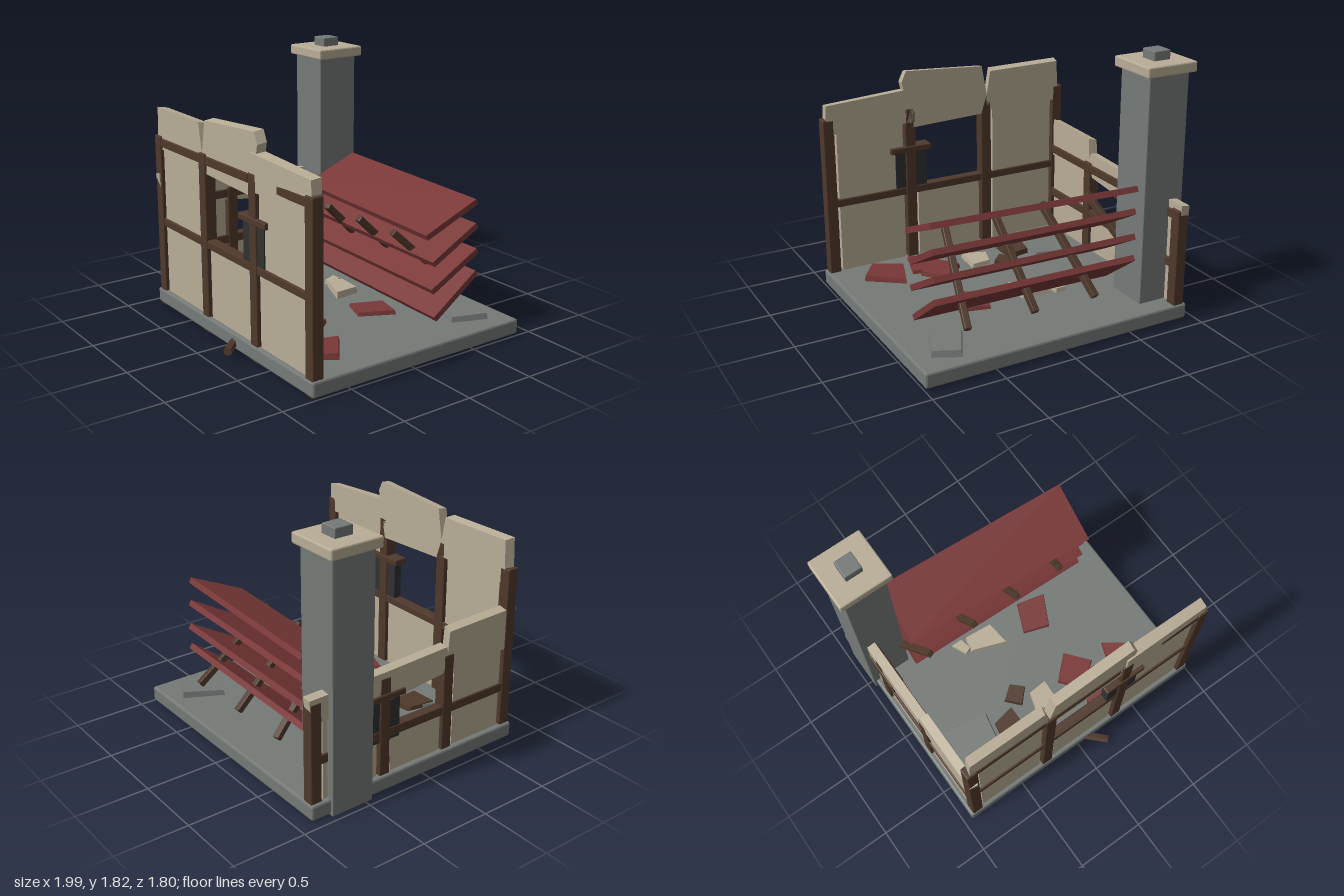
import * as THREE from 'three';
import { RoundedBoxGeometry } from 'three/addons/geometries/RoundedBoxGeometry.js';
import { ConvexGeometry } from 'three/addons/geometries/ConvexGeometry.js';

const mat = (name, color) => {
  const m = new THREE.MeshStandardMaterial({ color });
  m.name = name;
  return m;
};

export function createModel() {
  const stone = mat('stone', 0x757a77);
  const plaster = mat('plaster', 0xb8ad96);
  const timber = mat('timber', 0x4f392c);
  const tile = mat('roof red', 0x7a3838);
  const iron = mat('dark shutter', 0x303030);

  const root = new THREE.Group();
  root.name = 'ruinedHouse';
  const group = (name) => {
    const g = new THREE.Group();
    g.name = name;
    root.add(g);
    return g;
  };
  const add = (parent, name, geometry, material) => {
    const m = new THREE.Mesh(geometry, material);
    m.name = name;
    parent.add(m);
    return m;
  };
  // chamfered block with flat faces
  const chamfered = (w, h, d, r) => {
    const g = new RoundedBoxGeometry(w, h, d, 1, r);
    g.computeVertexNormals();
    return g;
  };
  // block given by its limits on each axis
  const block = (parent, name, material, [x0, x1], [y0, y1], [z0, z1], r = 0.007) => {
    const g = r ? chamfered(x1 - x0, y1 - y0, z1 - z0, r) : new THREE.BoxGeometry(x1 - x0, y1 - y0, z1 - z0);
    const m = add(parent, name, g, material);
    m.position.set((x0 + x1) / 2, (y0 + y1) / 2, (z0 + z1) / 2);
    return m;
  };
  const shard = (parent, name, material, points) =>
    add(parent, name, new ConvexGeometry(points.map((p) => new THREE.Vector3(...p))), material);

  block(root, 'foundation', stone, [-0.94, 0.995], [0.01, 0.115], [-0.9, 0.78], 0.014);

  // chimney
  const chimney = group('chimney');
  block(chimney, 'stack', stone, [-0.96, -0.655], [0, 1.69], [-0.76, -0.45], 0.006);
  block(chimney, 'chimneyCap', plaster, [-0.995, -0.617], [1.685, 1.757], [-0.795, -0.42], 0.01);
  block(chimney, 'flue', stone, [-0.87, -0.745], [1.74, 1.82], [-0.675, -0.545], 0.006);

  // front wall
  const front = group('frontWall');
  const FZ = [0.695, 0.765], PZ = [0.705, 0.752];
  for (const x of [-0.88, -0.275, 0.333, 0.94])
    block(front, 'frontPost', timber, [x - 0.04, x + 0.04], [0, 1.245], [0.69, 0.772]);
  block(front, 'middleRail', timber, [-0.86, 0.93], [0.6, 0.657], FZ);
  block(front, 'topRail', timber, [-0.86, 0.275], [1.17, 1.232], FZ);
  block(front, 'topRail', timber, [0.39, 0.93], [1.17, 1.232], FZ);
  for (const x of [-0.58, 0.03, 0.635]) {
    block(front, 'lowerPanel', plaster, [x - 0.247, x + 0.247], [0.1, 0.61], PZ, 0);
    if (x !== 0.03) block(front, 'upperPanel', plaster, [x - 0.247, x + 0.247], [0.65, 1.18], PZ, 0);
  }
  block(front, 'shutter', iron, [0.21, 0.45], [0.63, 0.93], [0.7, 0.76], 0);
  block(front, 'shutterLintel', timber, [0.178, 0.488], [0.92, 0.965], [0.68, 0.78]);

  // broken plaster on top of the front wall: outline, front z left/right, back z, back shift
  const frontShard = (pts, zl, zr, zb, dx, dy) => {
    const x0 = pts[0][0], x1 = pts[1][0];
    shard(front, 'brokenWallTop', plaster, pts.flatMap(([x, y]) => [
      [x, y, zl + (zr - zl) * (x - x0) / (x1 - x0)],
      [x + dx, y + dy, zb],
    ]));
  };
  frontShard([[-0.9, 1.15], [-0.3, 1.15], [-0.29, 1.24], [-0.325, 1.44], [-0.885, 1.445]], 0.757, 0.757, 0.69, 0.015, -0.01);
  frontShard([[-0.24, 1.11], [0.31, 1.09], [0.385, 1.43], [0.35, 1.505], [-0.245, 1.465], [-0.285, 1.25]], 0.757, 0.757, 0.69, 0.005, 0.01);
  frontShard([[0.31, 1.13], [0.9, 1.13], [0.955, 1.25], [0.95, 1.34], [0.31, 1.375]], 0.77, 0.76, 0.69, 0.005, 0.008);

  // left wall
  const side = group('leftWall');
  const FX = [-0.915, -0.845], PX = [-0.905, -0.858];
  for (const z of [0.2, -0.32, -0.85])
    block(side, 'sidePost', timber, [-0.92, -0.84], [0, 0.793], [z - 0.04, z + 0.04]);
  block(side, 'middleRail', timber, FX, [0.368, 0.432], [-0.84, 0.72]);
  block(side, 'topRail', timber, FX, [0.717, 0.78], [-0.84, 0.72]);
  for (const [z, open] of [[0.465, false], [-0.06, true], [-0.585, false]]) {
    block(side, 'lowerPanel', plaster, PX, [0.1, 0.38], [z - 0.208, z + 0.208], 0);
    if (!open) block(side, 'upperPanel', plaster, PX, [0.42, 0.73], [z - 0.208, z + 0.208], 0);
  }
  block(side, 'shutter', iron, [-0.91, -0.85], [0.35, 0.65], [-0.44, -0.2], 0);
  block(side, 'shutterLintel', timber, [-0.93, -0.83], [0.64, 0.685], [-0.475, -0.165]);

  // broken plaster on top of the left wall: outline in z and y
  const sideShard = (pts, dz, dy) => shard(side, 'brokenWallTop', plaster,
    pts.flatMap(([z, y]) => [[-0.856, y, z], [-0.918, y + dy, z + dz]]));
  sideShard([[0.755, 0.7], [0.22, 0.7], [0.19, 0.79], [0.205, 0.968], [0.782, 0.982]], -0.008, -0.015);
  sideShard([[0.15, 0.685], [-0.34, 0.635], [-0.37, 0.842], [0.175, 0.863], [0.2, 0.78]], 0, -0.01);
  sideShard([[-0.37, 0.66], [-0.88, 0.672], [-0.898, 0.832], [-0.345, 0.842]], 0, -0.008);

  // collapsed roof: y, z, pitch, yaw, width of each board
  const roof = group('collapsedRoof');
  [[0.85, -0.487, 0.42, -0.06, 0.44],
    [0.672, -0.505, 0.52, -0.035, 0.41],
    [0.49, -0.505, 0.52, -0.03, 0.43],
    [0.315, -0.52, 0.64, -0.03, 0.43]].forEach(([y, z, pitch, yaw, w]) => {
    const b = add(roof, 'roofBoard', new THREE.BoxGeometry(1.45, 0.04, w), tile);
    b.position.set(0.09, y, z);
    b.rotation.set(pitch, yaw, 0, 'YXZ');
  });

  // beam between two points
  const beam = (parent, name, a, b, size) => {
    const p = new THREE.Vector3(...a), q = new THREE.Vector3(...b);
    const m = add(parent, name, chamfered(size, size, p.distanceTo(q), 0.006), timber);
    m.position.copy(p).add(q).multiplyScalar(0.5);
    m.lookAt(q);
    return m;
  };
  [[-0.58, -0.78], [-0.215, -0.32], [0.147, 0.135], [0.515, 0.62]].forEach(([xf, xb]) =>
    beam(roof, 'rafter', [xf, 0.735, -0.195], [xb, 0.235, -0.725], 0.046));

  // rubble on the floor: material, outline in x and z, height, slope in x, slope in z
  const rubble = group('rubble');
  [[tile, [[0.25, -0.33], [0.45, -0.28], [0.34, -0.06], [0.16, -0.12]], 0.025, 0.03, 0],
    [tile, [[0.3, 0.19], [0.43, 0.35], [0.26, 0.48], [0.14, 0.34]], 0.035, 0, 0.04],
    [tile, [[0.34, 0.38], [0.47, 0.4], [0.4, 0.65], [0.22, 0.59]], 0.022, 0.03, 0],
    [tile, [[0.58, 0.29], [0.81, 0.46], [0.69, 0.63], [0.49, 0.54]], 0.035, 0.04, 0],
    [plaster, [[-0.22, -0.33], [-0.02, -0.31], [0, -0.13], [-0.24, -0.22]], 0.045, 0.02, 0.03],
    [plaster, [[-0.34, -0.34], [-0.26, -0.34], [-0.24, -0.25], [-0.29, -0.23]], 0.03, 0, 0],
    [plaster, [[-0.08, 0.29], [0.055, 0.28], [0.045, 0.48], [-0.12, 0.42]], 0.035, 0, 0.03],
    [timber, [[-0.17, 0.155], [-0.09, 0.23], [-0.18, 0.325], [-0.265, 0.23]], 0.045, 0.03, 0],
    [timber, [[-0.42, 0.33], [-0.26, 0.3], [-0.26, 0.5], [-0.45, 0.51]], 0.04, 0, 0.03],
    [stone, [[-0.76, 0.17], [-0.44, 0.23], [-0.49, 0.49], [-0.78, 0.45]], 0.03, 0.03, 0],
    [stone, [[-0.43, 0.41], [-0.25, 0.5], [-0.36, 0.67], [-0.51, 0.6]], 0.035, 0.03, 0],
    [stone, [[0.71, -0.81], [0.87, -0.73], [0.78, -0.5], [0.58, -0.56]], 0.04, 0, -0.03],
  ].forEach(([m, pts, h, sx, sz]) => {
    const cx = pts.reduce((s, p) => s + p[0], 0) / pts.length;
    const cz = pts.reduce((s, p) => s + p[1], 0) / pts.length;
    shard(rubble, 'rubblePiece', m, pts.flatMap(([x, z]) => [
      [x, 0.115 + h + sx * (x - cx) + sz * (z - cz), z],
      [x + (x - cx) * 0.06, 0.112, z + (z - cz) * 0.06],
    ]));
  });

  // stub of timber lying against the front of the foundation
  const a = new THREE.Vector3(0.06, 0.048, 0.75), b = new THREE.Vector3(0.19, 0.048, 0.882);
  const stubShape = new THREE.CylinderGeometry(0.03, 0.03, a.distanceTo(b), 6).toNonIndexed();
  stubShape.computeVertexNormals();
  const stub = add(root, 'fallenTimber', stubShape, timber);
  stub.position.copy(a).add(b).multiplyScalar(0.5);
  stub.quaternion.setFromUnitVectors(new THREE.Vector3(0, 1, 0), b.clone().sub(a).normalize());

  return root;
}
